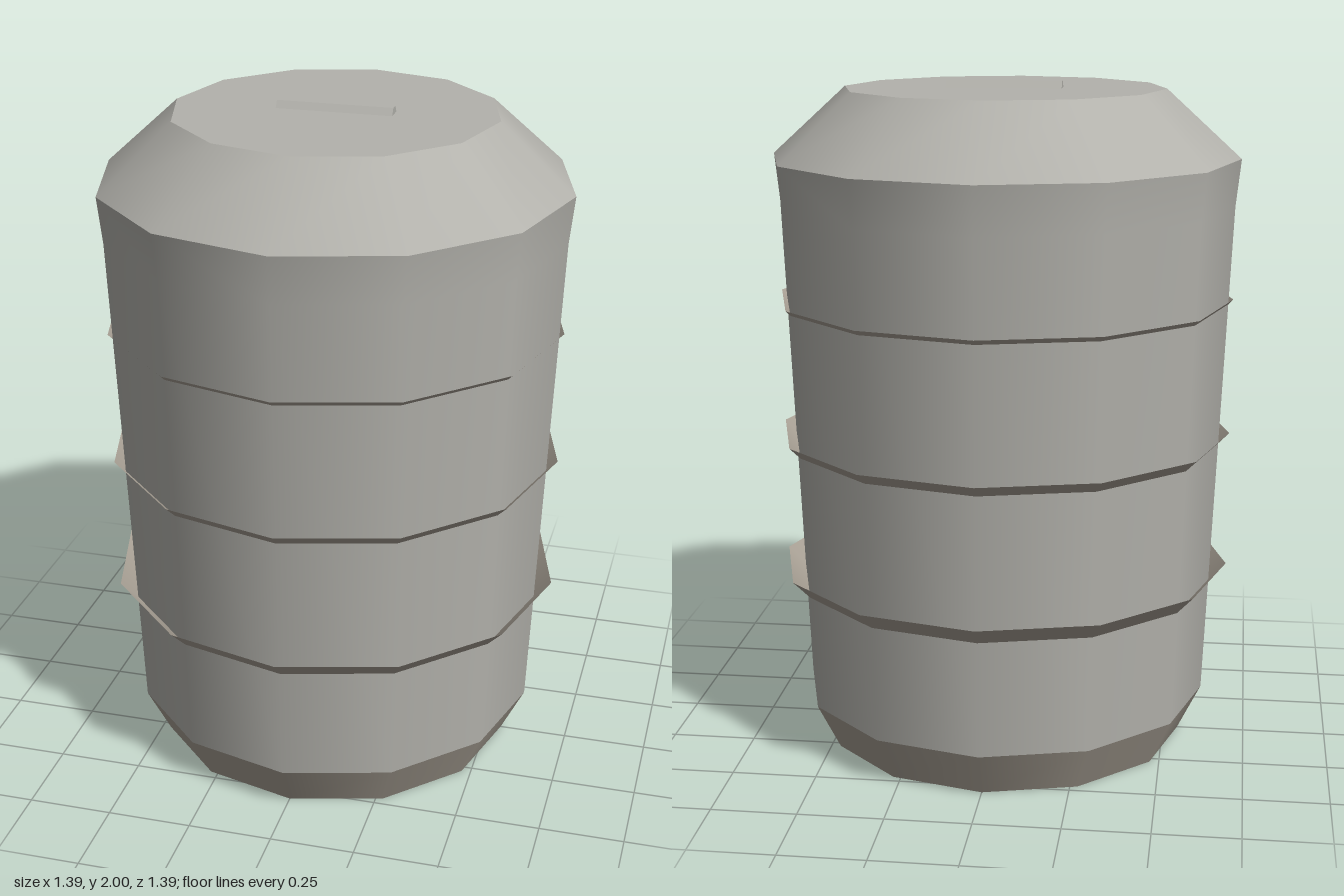
import * as THREE from 'three';

const SIDES = 12;

export function createModel() {
  const model = new THREE.Group();
  model.name = 'ribbedBarrel';

  const shell = new THREE.MeshStandardMaterial({ name: 'warmGrey', color: 0xb3b2ac });
  const trim = new THREE.MeshStandardMaterial({ name: 'brownGrey', color: 0xaba397, side: THREE.DoubleSide });

  const add = (name, geometry, material, y = 0) => {
    const mesh = new THREE.Mesh(geometry, material);
    mesh.name = name;
    mesh.position.y = y;
    model.add(mesh);
    return mesh;
  };

  // Open twelve-sided band, smooth around its axis
  const band = (name, y0, r0, y1, r1, material) =>
    add(name, new THREE.CylinderGeometry(r1, r0, y1 - y0, SIDES, 1, true), material, (y0 + y1) / 2);

  // Flat twelve-sided end face
  const disc = (name, y, r, facing) => {
    const geometry = new THREE.CircleGeometry(r, SIDES).rotateX(-facing * Math.PI / 2);
    add(name, geometry, shell, y);
  };

  // Body: chamfered foot, tapering wall, lip and sloping shoulder
  disc('bottomFace', 0, 0.545, -1);
  band('footChamfer', 0, 0.545, 0.14, 0.615, trim);
  const wall = [[0.615, 0.14], [0.68, 1.64], [0.695, 1.78]].map(([r, y]) => new THREE.Vector2(r, y));
  add('wall', new THREE.LatheGeometry(wall, SIDES), shell);
  band('shoulder', 1.78, 0.695, 1.98, 0.475, shell);
  disc('lidFace', 1.98, 0.475, 1);

  // Thin flared ribs, open at the top
  [[0.49, 0.629, 0.545], [0.923, 0.648, 0.957], [1.35, 0.667, 1.365]].forEach(([y0, r0, y1], i) =>
    band(`rib${i + 1}`, y0, r0, y1, 0.682, trim));

  // Lid handle: low bar with sloping sides
  const section = new THREE.Shape([[-0.028, 0], [0.028, 0], [0.012, 0.022], [-0.012, 0.022]]
    .map(([x, y]) => new THREE.Vector2(x, y)));
  const bar = new THREE.ExtrudeGeometry(section, { depth: 0.34, bevelEnabled: false });
  bar.translate(0, 0, -0.17).rotateY(Math.PI / 2);
  add('lidHandle', bar, shell, 1.978);

  return model;
}
